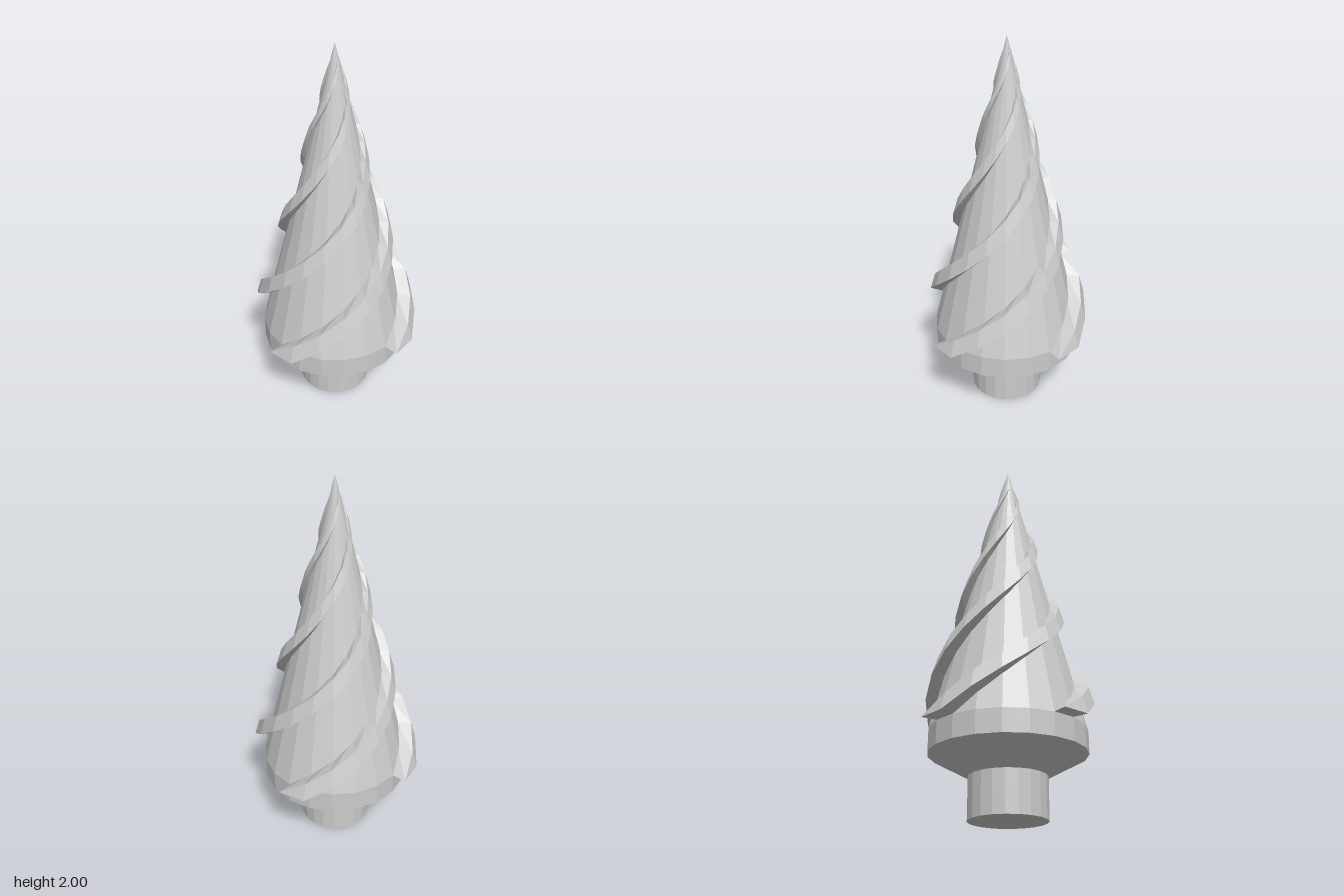
import * as THREE from 'three';

const SIDES = 20;          // facets per turn
const BASE = 0.43, TIP = 2; // height of the cone's base and tip
const BODY_R = 0.395, FIN_R = 0.475;

const material = new THREE.MeshStandardMaterial({ color: 0xcccccc, flatShading: true });

// Fraction of the cone's height a fin has climbed after a number of steps
function climb(step) {
  const t = Math.max(0, step) / SIDES;
  return 1.165 * t - 0.8 * Math.max(0, t - 0.5) ** 2;
}

// One full helical turn of a tapering four-sided fin
function finGeometry() {
  const positions = [];
  const index = [];
  for (let s = 0; s <= SIDES; s++) {
    const angle = (s / SIDES) * Math.PI * 2;
    const low = climb(s - 1), high = climb(s);
    // lower inner, lower outer, upper outer, upper inner
    for (const [f, r] of [[low, BODY_R - 0.008], [low, FIN_R], [high, FIN_R], [high, BODY_R - 0.008]]) {
      const radius = r * (1 - f);
      positions.push(radius * Math.sin(angle), BASE + (TIP - BASE) * f, radius * Math.cos(angle));
    }
  }
  for (let s = 0; s < SIDES; s++) {
    for (let k = 0; k < 4; k++) {
      const a = s * 4 + k, d = s * 4 + ((k + 1) % 4);
      index.push(a, a + 4, d + 4, a, d + 4, d);
    }
  }
  // Cap at the tip end
  const e = SIDES * 4;
  index.push(e, e + 2, e + 1, e, e + 3, e + 2);

  const geometry = new THREE.BufferGeometry();
  geometry.setAttribute('position', new THREE.Float32BufferAttribute(positions, 3));
  geometry.setIndex(index);
  const flat = geometry.toNonIndexed();
  flat.computeVertexNormals();
  return flat;
}

export function createModel() {
  const model = new THREE.Group();
  model.name = 'drillBit';

  // Shank, flared collar and cone turned as one piece
  const profile = [[0, 0], [0.195, 0], [0.195, 0.21], [BODY_R, 0.315], [BODY_R, BASE], [0, TIP]]
    .map(([r, y]) => new THREE.Vector2(r, y));
  const body = new THREE.Mesh(new THREE.LatheGeometry(profile, SIDES), material);
  body.name = 'body';
  model.add(body);

  // Four spiral fins a quarter turn apart
  const geometry = finGeometry();
  for (let i = 0; i < 4; i++) {
    const fin = new THREE.Mesh(geometry, material);
    fin.name = `spiralFin${i + 1}`;
    fin.rotation.y = (i * Math.PI) / 2;
    model.add(fin);
  }
  return model;
}
